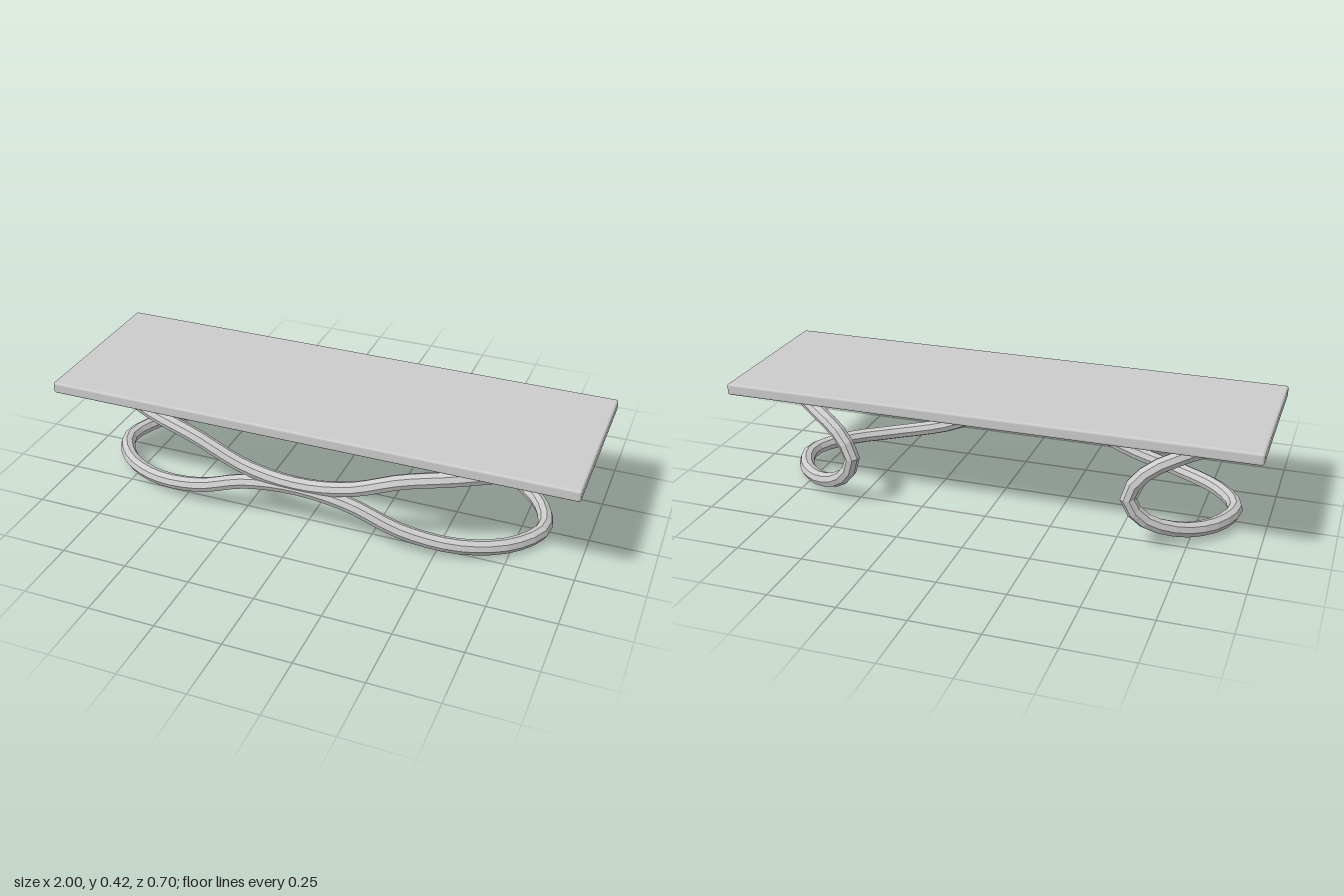
import * as THREE from 'three';
import { RoundedBoxGeometry } from 'three/addons/geometries/RoundedBoxGeometry.js';

const CENTRE_X = -0.02;
const TUBE_RADIUS = 0.0285;

// One quarter of the frame: front middle -> end bend -> back tip.
// Each entry is [distance from middle, height above mid plane, z].
const QUARTER = [
  [0, 0.007, 0.322],
  [0.2, 0.032, 0.318],
  [0.4, 0.106, 0.305],
  [0.6, 0.144, 0.265],
  [0.77, 0.156, 0.17],
  [0.856, 0.158, 0.03],
  [0.81, 0.157, -0.12],
  [0.69, 0.142, -0.235],
  [0.57, 0.088, -0.3],
  [0.515, 0, -0.32],
];

// Mirror a quarter point to one side (sx) and to the upper or lower half (sy)
function place([d, h, z], sx, sy) {
  const tip = z < -0.2 && sx < 0 ? 0.01 : 0; // left bend is slightly shallower
  const x = CENTRE_X + sx * (d + tip);
  return new THREE.Vector3(x, 0.196 - 0.006 * x + sy * h, z + tip);
}

function createFrame(material) {
  const last = QUARTER.length - 1;
  const points = [
    ...QUARTER.map((p) => place(p, 1, 1)),
    ...QUARTER.slice(1, last).reverse().map((p) => place(p, 1, -1)),
    ...QUARTER.slice(0, last).map((p) => place(p, -1, -1)),
    ...QUARTER.slice(1).reverse().map((p) => place(p, -1, 1)),
  ];
  const path = new THREE.CatmullRomCurve3(points, true, 'centripetal');
  const mesh = new THREE.Mesh(new THREE.TubeGeometry(path, 112, TUBE_RADIUS, 8, true), material);
  mesh.name = 'loopFrame';
  return mesh;
}

export function createModel() {
  const group = new THREE.Group();
  group.name = 'coffeeTable';

  // Flat table top with softened edges
  const top = new THREE.Mesh(
    new RoundedBoxGeometry(2, 0.044, 0.65, 2, 0.009),
    new THREE.MeshStandardMaterial({ color: 0xcccccc }),
  );
  top.name = 'tableTop';
  top.position.set(0, 0.407, 0.01);
  group.add(top);

  // Single continuous bent tube carrying the top
  group.add(createFrame(new THREE.MeshStandardMaterial({ color: 0xcccccc, flatShading: true })));
  return group;
}
